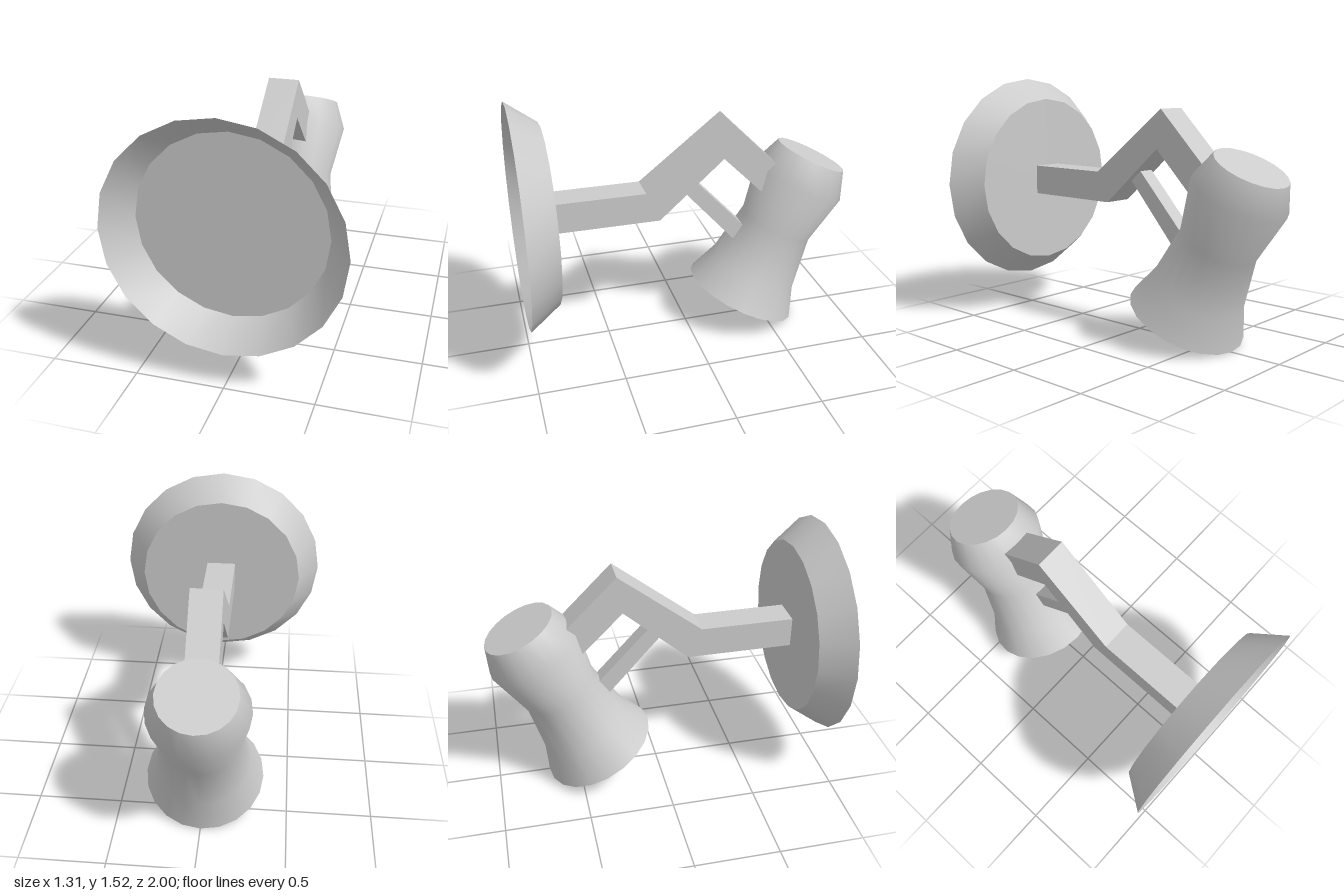
import * as THREE from 'three';
import { toCreasedNormals } from 'three/addons/utils/BufferGeometryUtils.js';

const SIDES = 20;
const grey = new THREE.MeshStandardMaterial({ color: 0xcccccc });
const greyOpen = new THREE.MeshStandardMaterial({ color: 0xcccccc, side: THREE.DoubleSide });

// Turned part from [radius, height] points, with sharp rims kept sharp
function turned(name, profile, material = grey) {
  const points = profile.map(([r, h]) => new THREE.Vector2(r, h));
  const geometry = toCreasedNormals(new THREE.LatheGeometry(points, SIDES), 0.7);
  const mesh = new THREE.Mesh(geometry, material);
  mesh.name = name;
  return mesh;
}

// Flat bar from a [z, y] outline, centred on x = 0
function bar(name, outline, width) {
  const shape = new THREE.Shape(outline.map(([z, y]) => new THREE.Vector2(z, y)));
  const geometry = new THREE.ExtrudeGeometry(shape, { depth: width, bevelEnabled: false });
  geometry.translate(0, 0, -width / 2).rotateY(-Math.PI / 2);
  const mesh = new THREE.Mesh(geometry, grey);
  mesh.name = name;
  return mesh;
}

export function createModel() {
  const model = new THREE.Group();
  model.name = 'wallLamp';

  // Hollow mounting dish, open toward the front
  const dish = turned('mountingDish', [[0, 0.82], [0.525, 0.82], [0.655, 1]], greyOpen);
  dish.rotation.x = Math.PI / 2;
  dish.position.y = 0.875;
  model.add(dish);

  // Bent arm running into the shade
  model.add(bar('arm', [
    [0.82, 0.785], [0.18, 0.785], [-0.21, 1.13], [-0.5, 0.84],
    [-0.62, 0.98], [-0.24, 1.36], [0.26, 0.967], [0.82, 0.967],
  ], 0.185));

  // Thin brace from the arm down to the shade
  model.add(bar('brace', [
    [0.02, 0.927], [-0.34, 0.52], [-0.41, 0.6], [-0.05, 0.988],
  ], 0.1));

  // Tilted lamp head, its origin at the middle of the open rim
  const head = new THREE.Group();
  head.name = 'lampHead';
  head.position.set(0, 0.16, -0.37);
  head.rotation.x = -0.448;
  model.add(head);

  // Waisted shade: inner wall, flat rim, outer wall, closed top
  head.add(turned('shade', [
    [0, 0.3], [0.25, 0.26], [0.27, 0.15], [0.31, 0], [0.353, 0],
    [0.28, 0.19], [0.23, 0.51], [0.286, 0.825], [0.221, 0.993], [0, 0.993],
  ]));

  // Rounded bulb just reaching past the rim
  const bulb = new THREE.Mesh(new THREE.SphereGeometry(1, SIDES, 12), grey);
  bulb.name = 'bulb';
  bulb.scale.set(0.27, 0.24, 0.27);
  bulb.position.y = 0.225;
  head.add(bulb);

  return model;
}
